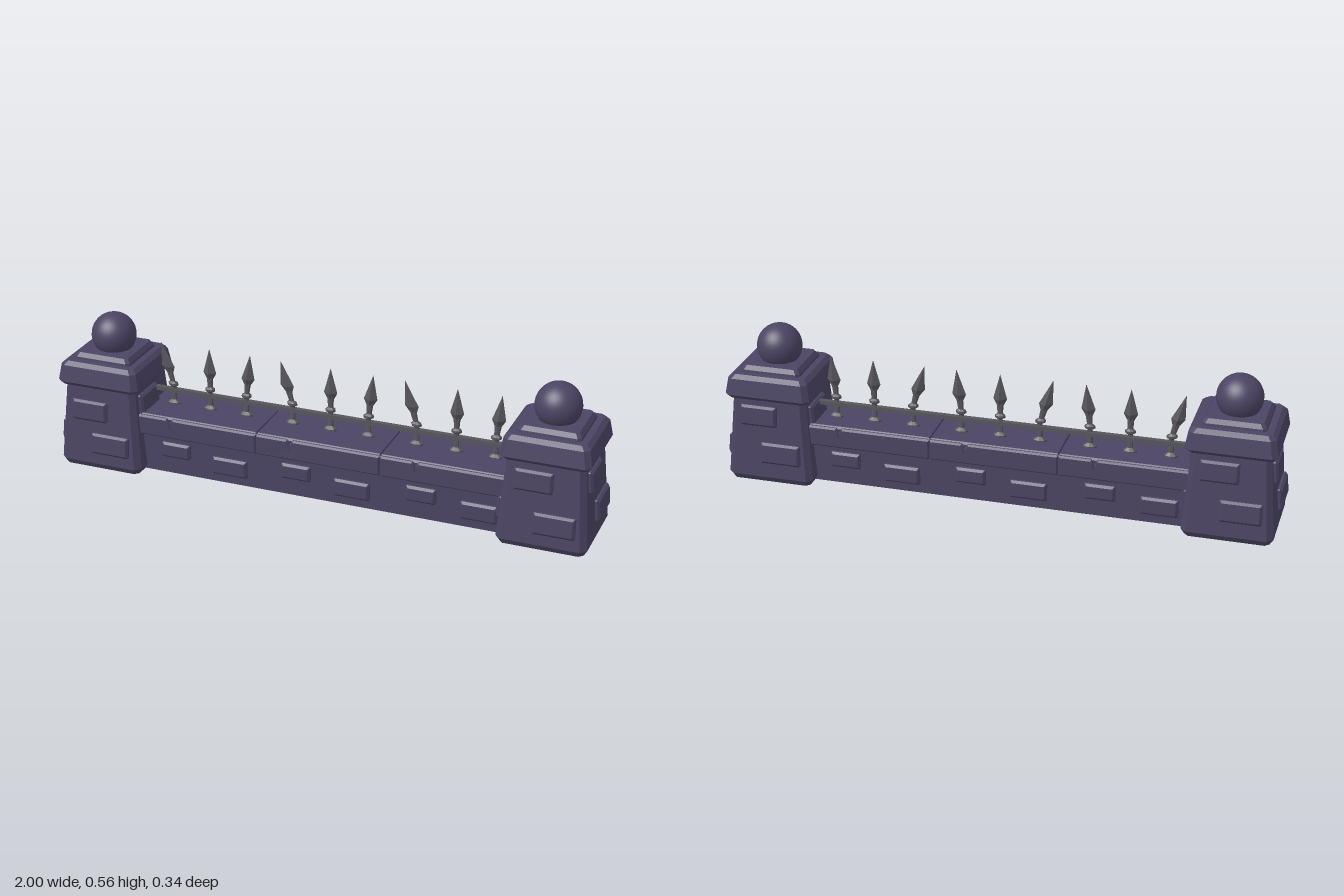
import * as THREE from 'three';

const stone = new THREE.MeshStandardMaterial({ color: 0x4b4463, side: THREE.DoubleSide });
stone.name = 'purple stone';
const iron = new THREE.MeshStandardMaterial({ color: 0x57565c, side: THREE.DoubleSide });
iron.name = 'grey iron';

const PITCH = 0.465; // the wall repeats three times along x

function add(parent, name, geometry, material, x = 0, y = 0, z = 0) {
  const mesh = new THREE.Mesh(geometry, material);
  mesh.name = name;
  mesh.position.set(x, y, z);
  parent.add(mesh);
  return mesh;
}

// Flat-shaded stack of chamfered rectangles; each ring is [y, halfX, halfZ, chamfer]
function loft(rings, openBottom = false) {
  const pts = rings.map(([y, a, b, c]) => [
    [a, b - c], [a - c, b], [c - a, b], [-a, b - c],
    [-a, c - b], [c - a, -b], [a - c, -b], [a, c - b],
  ].map(([x, z]) => [x, y, z]));
  const out = [];
  const tri = (...corners) => corners.forEach((p) => out.push(...p));
  const last = pts.length - 1;
  for (let i = 0; i < 8; i++) {
    const j = (i + 1) % 8;
    for (let k = 0; k < last; k++) {
      tri(pts[k][i], pts[k + 1][i], pts[k + 1][j]);
      tri(pts[k][i], pts[k + 1][j], pts[k][j]);
    }
    tri([0, rings[last][0], 0], pts[last][j], pts[last][i]);
    if (!openBottom) tri([0, rings[0][0], 0], pts[0][i], pts[0][j]);
  }
  const g = new THREE.BufferGeometry();
  g.setAttribute('position', new THREE.Float32BufferAttribute(out, 3));
  g.computeVertexNormals();
  return g;
}

// Raised block facing +z, leaning back by tilt
function addBrick(parent, w, h, x, y, z, tilt = 0) {
  const a = w / 2, b = h / 2;
  const g = loft([[-0.01, a, b, 0.003], [0.008, a, b, 0.003], [0.016, a - 0.008, b - 0.008, 0.002]]);
  add(parent, 'brick', g, stone, x, y, z).rotation.x = Math.PI / 2 - tilt;
}

function makePillar(name, x, frontUpperY) {
  const p = new THREE.Group();
  p.name = name;
  p.position.set(x, 0, -0.003);
  add(p, 'pillarBody', loft([[0, 0.147, 0.147, 0.015], [0.022, 0.16, 0.16, 0.021],
    [0.32, 0.136, 0.136, 0.018]], true), stone);
  add(p, 'pillarCap', loft([[0.316, 0.146, 0.146, 0.015], [0.33, 0.158, 0.158, 0.018],
    [0.39, 0.148, 0.148, 0.018], [0.404, 0.133, 0.133, 0.014]]), stone);
  add(p, 'capStep', loft([[0.4, 0.111, 0.111, 0.012], [0.413, 0.109, 0.109, 0.012],
    [0.428, 0.098, 0.098, 0.01]]), stone);
  add(p, 'ballFinial', new THREE.SphereGeometry(0.081, 32, 20), stone, 0, 0.475, 0);

  // Two bricks on every side, upper one to the left
  const halfAt = (y) => 0.162 - 0.082 * y;
  for (let i = 0; i < 4; i++) {
    const side = new THREE.Group();
    side.name = 'pillarBricks';
    side.rotation.y = i * Math.PI / 2;
    const up = i === 0 ? frontUpperY : 0.256;
    const low = i === 0 ? 0.104 : 0.118;
    addBrick(side, 0.135, 0.076, -0.034, up, halfAt(up), 0.085);
    addBrick(side, 0.147, 0.078, 0.046, low, halfAt(low), 0.085);
    p.add(side);
  }
  return p;
}

// Front lip of one coping stone with a small crack in its top edge
function lipGeometry() {
  const a = PITCH / 2 - 0.006;
  const s = new THREE.Shape();
  s.moveTo(-a, 0.156);
  s.lineTo(a, 0.156);
  s.lineTo(a, 0.22);
  s.lineTo(-0.09, 0.22);
  s.lineTo(-0.1, 0.205);
  s.lineTo(-0.105, 0.185);
  s.lineTo(-0.112, 0.206);
  s.lineTo(-0.118, 0.22);
  s.lineTo(-a, 0.22);
  return new THREE.ExtrudeGeometry(s, {
    depth: 0.008, bevelEnabled: true, bevelThickness: 0.007, bevelSize: 0.006, bevelSegments: 1,
  });
}

function makeWall() {
  const wall = new THREE.Group();
  wall.name = 'lowWall';
  wall.position.z = -0.004;
  add(wall, 'wallBody', new THREE.BoxGeometry(1.42, 0.155, 0.188), stone, 0, 0.083, 0);
  const lip = lipGeometry();
  const core = loft([[0.151, PITCH / 2, 0.1, 0.002], [0.222, PITCH / 2, 0.106, 0.002],
    [0.23, PITCH / 2 - 0.003, 0.1, 0.002]]);
  for (let i = -1; i <= 1; i++) add(wall, 'copingStone', core, stone, i * PITCH, 0, 0);
  for (const turn of [0, Math.PI]) {
    const side = new THREE.Group();
    side.name = 'wallFace';
    side.rotation.y = turn;
    for (let i = -1; i <= 1; i++) {
      const x = i * PITCH;
      add(side, 'copingLip', lip, stone, x, 0, 0.1);
      addBrick(side, 0.11, 0.058, x - 0.085, 0.1, 0.094);
      addBrick(side, 0.133, 0.066, x + 0.125, 0.072, 0.094);
    }
    wall.add(side);
  }
  return wall;
}

// Spike that bends sideways above its collar
function makeSpike(x, lean) {
  const spike = new THREE.Group();
  spike.name = 'spike';
  spike.position.set(x, 0, -0.022);
  const lathe = (profile, sides) => {
    let g = new THREE.LatheGeometry(profile.map(([r, y]) => new THREE.Vector2(r, y)), sides).toNonIndexed();
    const p = g.attributes.position;
    for (let i = 0; i < p.count; i++) {
      const t = Math.max(0, p.getY(i) - 0.3) / 0.16;
      p.setX(i, p.getX(i) + lean * t);
      p.setZ(i, p.getZ(i) * 0.7);
    }
    g.computeVertexNormals();
    return g;
  };
  add(spike, 'spikeShaft', lathe([[0.025, 0.225], [0.025, 0.236], [0.011, 0.246], [0.009, 0.296],
    [0.019, 0.302], [0.019, 0.31], [0.01, 0.317], [0.013, 0.36]], 8), iron);
  add(spike, 'spikeHead', lathe([[0, 0.345], [0.013, 0.35], [0.025, 0.373], [0, 0.465]], 4), iron);
  return spike;
}

export function createModel() {
  const model = new THREE.Group();
  model.name = 'graveyardFence';
  model.add(makePillar('rightPillar', -0.833, 0.226), makePillar('leftPillar', 0.823, 0.252), makeWall());
  add(model, 'rail', new THREE.BoxGeometry(1.42, 0.015, 0.018), iron, 0, 0.281, -0.024);
  for (let i = -1; i <= 1; i++) {
    for (const [dx, lean] of [[-0.144, -0.045], [0, 0], [0.142, 0.016]]) {
      model.add(makeSpike(i * PITCH + dx, lean));
    }
  }
  return model;
}
